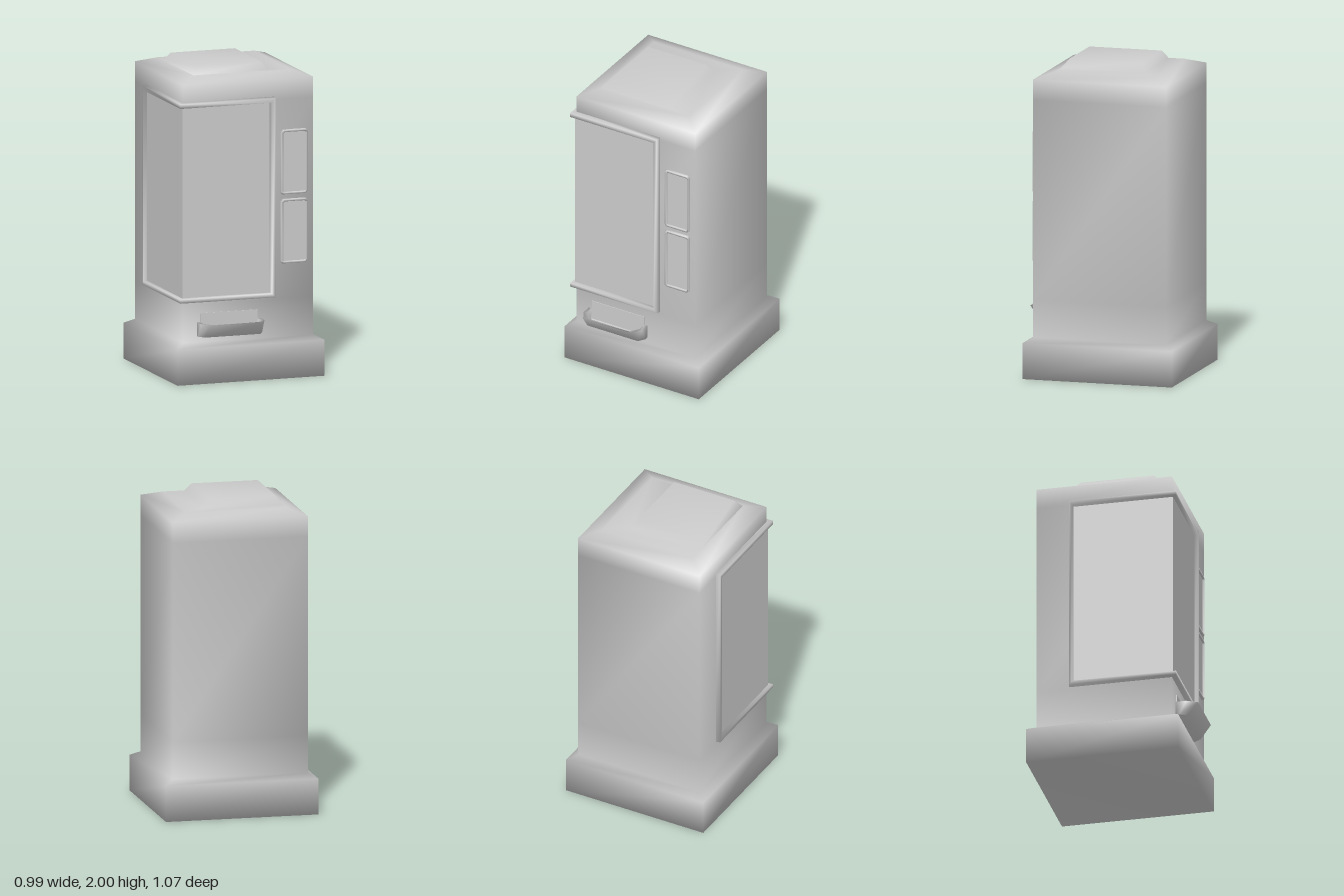
import * as THREE from 'three';

const material = new THREE.MeshStandardMaterial({ color: 0xcccccc, side: THREE.DoubleSide });

// Skin a list of equal-length point loops; either close it into a ring or cap both ends.
function loft(loops, ring = false) {
  const n = loops[0].length, m = loops.length;
  const pts = loops.flat();
  const idx = [];
  for (let i = 0; i < (ring ? m : m - 1); i++) {
    const a = i * n, b = ((i + 1) % m) * n;
    for (let j = 0; j < n; j++) {
      const k = (j + 1) % n;
      idx.push(a + j, a + k, b + k, a + j, b + k, b + j);
    }
  }
  if (!ring) {
    const e = (m - 1) * n;
    for (let j = 1; j < n - 1; j++) idx.push(0, j + 1, j, e, e + j, e + j + 1);
  }
  // Turn the faces outward when the enclosed volume comes out negative
  let volume = 0;
  const v = pts.map((p) => new THREE.Vector3(...p));
  for (let i = 0; i < idx.length; i += 3) {
    volume += v[idx[i]].dot(v[idx[i + 1]].clone().cross(v[idx[i + 2]]));
  }
  if (volume < 0) idx.reverse();
  const g = new THREE.BufferGeometry();
  g.setAttribute('position', new THREE.Float32BufferAttribute(pts.flat(), 3));
  g.setIndex(idx);
  g.computeVertexNormals();
  return g;
}

// Box from its limits
function slab(x0, x1, y0, y1, z0, z1) {
  return new THREE.BoxGeometry(x1 - x0, y1 - y0, z1 - z0)
    .translate((x0 + x1) / 2, (y0 + y1) / 2, (z0 + z1) / 2);
}

// Upright rectangle with clipped corners
function clippedRect(x0, x1, y0, y1, c, z) {
  return [[x0 + c, y0], [x1 - c, y0], [x1, y0 + c], [x1, y1 - c],
    [x1 - c, y1], [x0 + c, y1], [x0, y1 - c], [x0, y0 + c]].map(([x, y]) => [x, y, z]);
}

export function createModel() {
  const model = new THREE.Group();
  const add = (name, geometry, parent = model) => {
    const mesh = new THREE.Mesh(geometry, material);
    mesh.name = name;
    parent.add(mesh);
  };

  // Cabinet: plinth, shaft, sloped shoulder and off-centre cap (y, x0, x1, z0, z1)
  const rings = [
    [0, -0.495, 0.49, -0.535, 0.447],
    [0.23, -0.495, 0.49, -0.535, 0.447],
    [0.26, -0.44, 0.433, -0.48, 0.395],
    [0.5, -0.44, 0.433, -0.48, 0.395],
    [1.78, -0.44, 0.433, -0.48, 0.395],
    [1.91, -0.44, 0.433, -0.48, 0.395],
    [1.948, -0.33, 0.32, -0.37, 0.285],
    [1.948, -0.33, 0.175, -0.265, 0.285],
    [2, -0.29, 0.14, -0.23, 0.245],
  ];
  add('cabinet', loft(rings.map(([y, x0, x1, z0, z1]) =>
    [[x0, y, z0], [x0, y, z1], [x1, y, z1], [x1, y, z0]])));

  // Display window wrapping the front corner
  add('displayWindow', slab(-0.447, 0.142, 0.545, 1.765, -0.242, 0.403));

  // Display frame: plan points and heights of the bar section at each bend
  const frontEnd = [[0.175, 0.39], [0.17, 0.427], [0.145, 0.427], [0.135, 0.39]];
  const corner = [[-0.43, 0.39], [-0.468, 0.427], [-0.468, 0.427], [-0.43, 0.39]];
  const backEnd = [[-0.43, -0.27], [-0.47, -0.265], [-0.47, -0.245], [-0.43, -0.235]];
  const low = [0.515, 0.52, 0.545, 0.552];
  const high = [1.8, 1.795, 1.768, 1.76];
  const station = (plan, ys) => plan.map(([x, z], i) => [x, ys[i], z]);
  add('displayFrame', loft([
    station(frontEnd, low), station(corner, low), station(backEnd, low),
    station(backEnd, high), station(corner, high), station(frontEnd, high),
  ], true));

  // Two small framed panels beside the display
  for (const [name, y0, y1] of [['upperPanel', 1.167, 1.587], ['lowerPanel', 0.725, 1.143]]) {
    const panel = new THREE.Group();
    panel.name = name;
    model.add(panel);
    add('panelFrame', loft([
      clippedRect(0.21, 0.397, y0, y1, 0.015, 0.385),
      clippedRect(0.215, 0.392, y0 + 0.005, y1 - 0.005, 0.015, 0.41),
      clippedRect(0.23, 0.385, y0 + 0.017, y1 - 0.017, 0.01, 0.41),
      clippedRect(0.234, 0.382, y0 + 0.021, y1 - 0.021, 0.01, 0.385),
    ], true), panel);
    add('panelFace', slab(0.228, 0.387, y0 + 0.015, y1 - 0.015, 0.38, 0.399), panel);
  }

  // Dispensing tray: open bin with a front that leans outward, and a plate behind it
  const trayLoop = (y, x0, x1, zBack, zSide, zFront, c) => [
    [x0, y, zBack], [x0, y, zSide], [x0 + c, y, zFront],
    [x1 - c, y, zFront], [x1, y, zSide], [x1, y, zBack]];
  add('tray', loft([
    trayLoop(0.3, -0.347, 0.082, 0.385, 0.42, 0.465, 0.03),
    trayLoop(0.387, -0.347, 0.082, 0.385, 0.465, 0.533, 0.04),
    trayLoop(0.387, -0.325, 0.06, 0.387, 0.455, 0.515, 0.04),
    trayLoop(0.315, -0.325, 0.06, 0.387, 0.415, 0.452, 0.03),
  ]));
  add('trayBackPlate', slab(-0.325, 0.06, 0.31, 0.445, 0.38, 0.399));

  return model;
}
